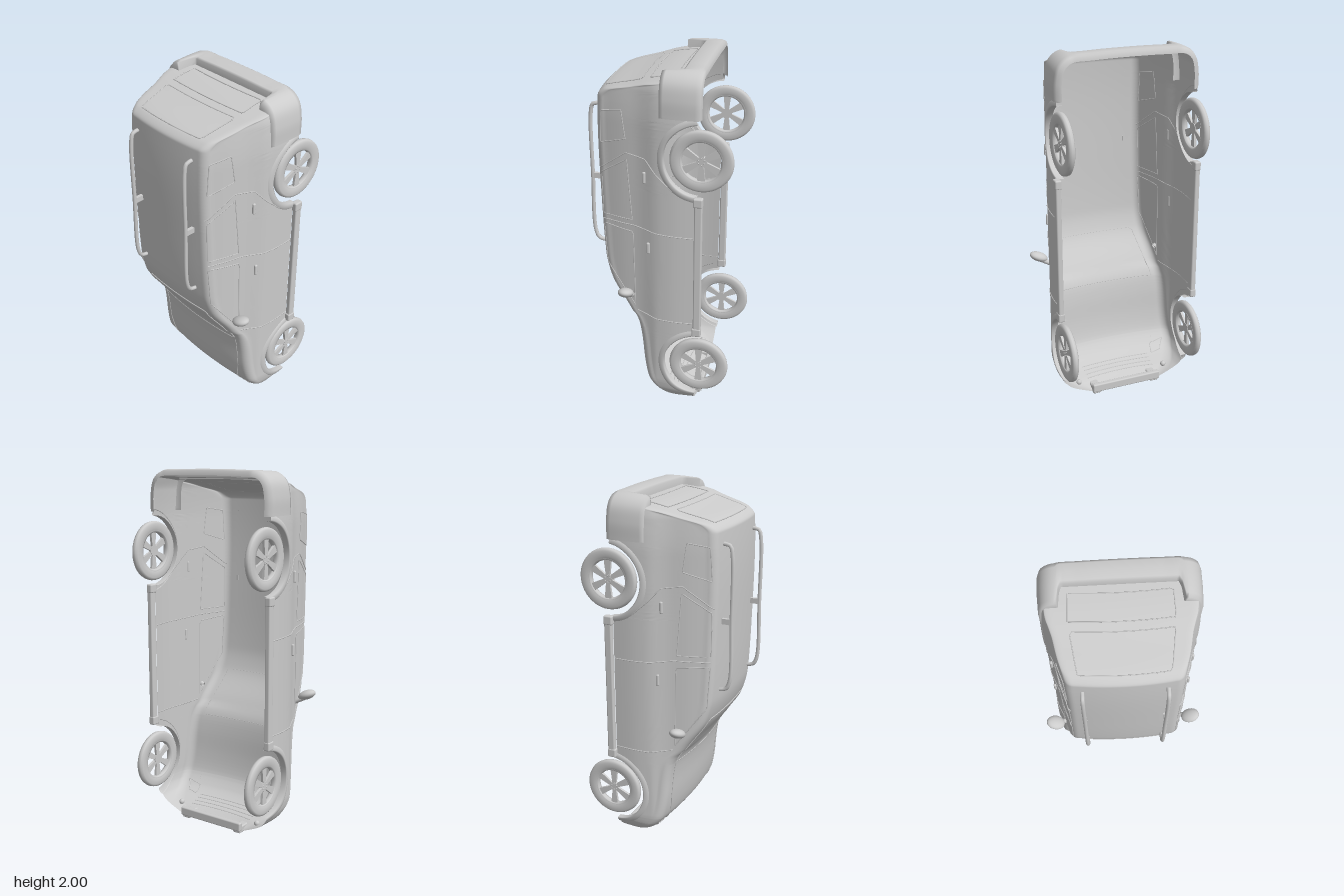
import * as THREE from 'three';
import { RoundedBoxGeometry } from 'three/addons/geometries/RoundedBoxGeometry.js';

const grey = new THREE.MeshStandardMaterial({ color: 0xcccccc, side: THREE.DoubleSide });
const V = (x, y, z) => new THREE.Vector3(x, y, z);

function add(parent, name, geo, x = 0, y = 0, z = 0) {
  const m = new THREE.Mesh(geo, grey);
  m.name = name;
  m.position.set(x, y, z);
  parent.add(m);
  return m;
}

// Smooth monotone interpolation through [position, value] pairs
function ramp(p) {
  const d = p.slice(1).map((q, i) => (q[1] - p[i][1]) / (q[0] - p[i][0]));
  const t = p.map((_, i) => {
    if (i === 0) return d[0];
    if (i === d.length) return d[i - 1];
    return d[i - 1] * d[i] <= 0 ? 0 : 2 * d[i - 1] * d[i] / (d[i - 1] + d[i]);
  });
  return (v) => {
    let i = 0;
    while (i < d.length - 1 && v > p[i + 1][0]) i++;
    const h = p[i + 1][0] - p[i][0], s = Math.min(1, Math.max(0, (v - p[i][0]) / h)), r = 1 - s;
    return p[i][1] * (1 + 2 * s) * r * r + t[i] * h * s * r * r
      + p[i + 1][1] * s * s * (3 - 2 * s) - t[i + 1] * h * s * s * r;
  };
}

// Surface from a rule f(i, j) returning a point
function grid(n, m, f) {
  const pos = [], idx = [];
  for (let i = 0; i <= n; i++) for (let j = 0; j <= m; j++) pos.push(...f(i, j).toArray());
  for (let i = 0; i < n; i++) for (let j = 0; j < m; j++) {
    const a = i * (m + 1) + j, b = a + m + 1;
    idx.push(a, b, a + 1, a + 1, b, b + 1);
  }
  const g = new THREE.BufferGeometry();
  g.setAttribute('position', new THREE.Float32BufferAttribute(pos, 3));
  g.setIndex(idx);
  g.computeVertexNormals();
  return g;
}

// Body rules: y runs nose to tail, z is the car's height
const topLine = ramp([[0.01, -0.19], [0.03, -0.14], [0.05, -0.1], [0.085, -0.015], [0.12, 0.035], [0.19, 0.085],
  [0.3, 0.108], [0.44, 0.123], [0.53, 0.14], [0.62, 0.19], [0.8, 0.302], [0.92, 0.33], [1.24, 0.346],
  [1.6, 0.354], [1.82, 0.348], [1.857, 0.315], [1.9, 0.16], [1.94, -0.02], [1.955, -0.19]]);
const halfWidth = ramp([[-0.25, 0.386], [-0.1, 0.395], [0, 0.385], [0.05, 0.366], [0.1, 0.347], [0.2, 0.322],
  [0.3, 0.288], [0.36, 0.262]]);
const taper = ramp([[0.01, 0.5], [0.03, 0.63], [0.05, 0.75], [0.07, 0.85], [0.1, 0.93], [0.15, 0.985], [0.2, 1],
  [1.7, 1], [1.88, 0.97], [1.955, 0.92]]);
const AXLES = [0.33, 1.55], AXLE_Z = -0.235, ARCH = 0.195;

const sill = (y) => Math.max(-0.205, ...AXLES.map((a) =>
  Math.abs(y - a) < ARCH ? AXLE_Z + Math.sqrt(ARCH * ARCH - (y - a) ** 2) : -1));

function section(y) {
  const top = topLine(y), low = sill(y), h = top - low;
  const r = Math.min(0.05, h * 0.5), crown = Math.min(y < 0.6 ? 0.025 : 0.016, h * 0.25);
  const zs = top - r - crown;
  return { low, r, crown, zs, xs: halfWidth(zs) * taper(y) };
}
function sideX(y, z) {
  const s = section(y);
  if (z <= s.zs) return halfWidth(z) * taper(y);
  return s.xs - s.r + s.r * Math.sqrt(Math.max(0, 1 - ((z - s.zs) / s.r) ** 2));
}
function topZ(x, y) {
  const s = section(y), flat = s.xs - s.r, a = Math.abs(x);
  if (a <= flat) return s.zs + s.r + s.crown * (1 - (a / flat) ** 2);
  return s.zs + s.r * Math.sqrt(Math.max(0, 1 - ((a - flat) / s.r) ** 2));
}

// Open-bottomed shell, with the sill line rising over the wheels
function bodyShell() {
  const ys = [];
  for (let y = 0.01; y < 0.14; y += 0.005) ys.push(y);
  for (let y = 0.14; y < 1.8; y += 0.02) ys.push(y);
  for (let y = 1.8; y < 1.955; y += 0.005) ys.push(y);
  for (const a of AXLES) for (let i = 0; i <= 28; i++) ys.push(a - ARCH * Math.cos(i * Math.PI / 28));
  ys.push(1.955);
  ys.sort((a, b) => a - b);
  const side = 14, corner = 8, roof = 10, half = side + corner + roof;
  return grid(ys.length - 1, half * 2, (i, j) => {
    const y = ys[i], s = section(y), k = j <= half ? j : 2 * half - j, sgn = j <= half ? 1 : -1;
    if (k <= side) {
      const z = s.low + (s.zs - s.low) * k / side;
      return V(sgn * halfWidth(z) * taper(y), y, z);
    }
    if (k <= side + corner) {
      const a = (k - side) / corner * Math.PI / 2;
      return V(sgn * (s.xs - s.r + s.r * Math.cos(a)), y, s.zs + s.r * Math.sin(a));
    }
    const t = 1 - (k - side - corner) / roof;
    return V(sgn * (s.xs - s.r) * t, y, s.zs + s.r + s.crown * (1 - t * t));
  });
}

// Trim line and panel laid on the body; map turns 2D into a body point
function trim(points, map, radius = 0.003, closed = false) {
  const list = closed ? [...points, points[0]] : points, path = new THREE.CurvePath();
  for (let i = 0; i + 1 < list.length; i++) {
    const [a, b] = [list[i], list[i + 1]], pts = [];
    for (let k = 0; k <= 10; k++) pts.push(map(a[0] + (b[0] - a[0]) * k / 10, a[1] + (b[1] - a[1]) * k / 10));
    path.add(new THREE.CatmullRomCurve3(pts));
  }
  return new THREE.TubeGeometry(path, (list.length - 1) * 14, radius, 5);
}
function panel([a, b, c, d], map) {
  const mix = (k, u, v) => (a[k] * (1 - u) + b[k] * u) * (1 - v) + (d[k] * (1 - u) + c[k] * u) * v;
  return grid(14, 14, (i, j) => map(mix(0, i / 14, j / 14), mix(1, i / 14, j / 14)));
}

function wheel() {
  const g = new THREE.Group();
  g.name = 'wheel';
  const lathe = (p) => new THREE.LatheGeometry(p.map(([r, h]) => new THREE.Vector2(r, h)), 48).rotateX(Math.PI / 2);
  add(g, 'tyre', lathe([[0.112, -0.014], [0.125, -0.018], [0.15, -0.019], [0.162, -0.012], [0.165, 0],
    [0.162, 0.012], [0.15, 0.019], [0.125, 0.018], [0.112, 0.014]]));
  add(g, 'rim', lathe([[0.114, -0.016], [0.104, -0.016], [0.1, 0], [0.104, 0.014], [0.114, 0.014]]));
  add(g, 'hub', new THREE.CylinderGeometry(0.026, 0.03, 0.018, 24).rotateX(Math.PI / 2), 0, 0, 0.002);
  const shape = new THREE.Shape([[-0.011, 0.02], [0.011, 0.02], [0.021, 0.106], [-0.021, 0.106]]
    .map(([x, y]) => new THREE.Vector2(x, y)));
  for (let i = 0; i < 6; i++) {
    const spoke = new THREE.ExtrudeGeometry(shape, { depth: 0.014, bevelEnabled: false });
    add(g, 'spoke', spoke, 0, 0, -0.004).rotation.z = i * Math.PI / 3;
    const a = (i + 0.5) * Math.PI / 3;
    add(g, 'wheelNut', new THREE.SphereGeometry(0.004, 8, 6), 0.017 * Math.cos(a), 0.017 * Math.sin(a), 0.011);
  }
  return g;
}

// Raised lip around a wheel opening
function archFlare(axle, s) {
  const profile = [[0.195, -0.03], [0.193, 0.004], [0.2, 0.008], [0.218, 0.006], [0.228, -0.002]];
  return grid(40, 4, (i, j) => {
    const a = 0.1 + (Math.PI - 0.2) * i / 40, [r, d] = profile[j];
    const y = axle - r * Math.cos(a), z = AXLE_Z + r * Math.sin(a);
    return V(s * (sideX(y, z) + d), y, z);
  });
}

// Bumper swept round the tail, its top edge lower in the middle
function rearBumper() {
  const half = [[0.396, 1.765], [0.395, 1.86], [0.375, 1.94], [0.325, 1.983], [0.2, 1.992]];
  const path = new THREE.CatmullRomCurve3([...half.map(([x, y]) => V(x, y, 0)), V(0, 1.995, 0),
    ...half.slice().reverse().map(([x, y]) => V(-x, y, 0))]);
  const profile = [[1, -0.05], [1, -0.008], [0.9, 0], [0.5, 0.004], [0.15, 0.004], [0.03, -0.004], [0, -0.03]];
  return grid(90, 6, (i, j) => {
    const p = path.getPointAt(i / 90), t = path.getTangentAt(i / 90);
    const top = -0.12 + 0.1 * THREE.MathUtils.smoothstep(Math.abs(p.x), 0.285, 0.305);
    const [v, d] = profile[j];
    return V(p.x + t.y * d, p.y - t.x * d, -0.235 + (top + 0.235) * v);
  });
}

export function createModel() {
  const car = new THREE.Group();
  car.name = 'car';
  add(car, 'bodyShell', bodyShell());
  add(car, 'rearBumper', rearBumper());

  // Glass, hood and tailgate lines
  const onTop = (x, y) => V(x, y, topZ(x, y) + 0.002);
  const onTail = (x, y) => V(x, y + 0.002, topZ(x, y) + 0.001);
  const screen = [[-0.3, 0.53], [0.3, 0.53], [0.235, 0.79], [-0.235, 0.79]];
  const rearGlass = [[-0.22, 1.862], [0.22, 1.862], [0.25, 1.914], [-0.25, 1.914]];
  const platePanel = [[-0.255, 1.925], [0.255, 1.925], [0.25, 1.946], [-0.25, 1.946]];
  add(car, 'windscreen', panel(screen, onTop));
  add(car, 'windscreenFrame', trim(screen, onTop, 0.003, true));
  add(car, 'rearWindow', panel(rearGlass, onTail));
  add(car, 'rearWindowFrame', trim(rearGlass, onTail, 0.003, true));
  add(car, 'tailgatePanel', trim(platePanel, onTail, 0.003, true));
  for (const y of [0.05, 0.06, 0.07, 0.08]) add(car, 'grilleBar', trim([[-0.21, y], [0.21, y]], onTop, 0.0035));
  add(car, 'frontSkidPlate', new RoundedBoxGeometry(0.42, 0.05, 0.03, 2, 0.008), 0, 0.04, -0.21);

  for (const s of [1, -1]) {
    const onSide = (y, z) => V(s * (sideX(y, z) + 0.001), y, z);
    const windows = {
      frontDoorWindow: [[0.65, 0.13], [1.1, 0.135], [1.115, 0.31], [0.88, 0.295]],
      rearDoorWindow: [[1.17, 0.14], [1.51, 0.165], [1.41, 0.315], [1.17, 0.312]],
      quarterWindow: [[1.62, 0.17], [1.77, 0.19], [1.75, 0.305], [1.575, 0.315]],
    };
    for (const [name, q] of Object.entries(windows)) {
      add(car, name, panel(q, onSide));
      add(car, name + 'Frame', trim(q, onSide, 0.003, true));
    }
    add(car, 'frontDoorSeam', trim([[0.6, -0.2], [0.6, 0], [0.62, 0.12]], onSide));
    add(car, 'middleDoorSeam', trim([[1.12, -0.2], [1.125, 0], [1.14, 0.13], [1.14, 0.31]], onSide));
    add(car, 'rearDoorSeam', trim([[1.38, -0.09], [1.46, 0], [1.53, 0.06], [1.545, 0.17], [1.43, 0.325]], onSide));
    add(car, 'hoodSeam', trim([[0.27, 0.14], [0.3, 0.3], [0.3, 0.52]], (x, y) => onTop(s * x, y), 0.002));
    const lamp = [[0.24, 0.08], [0.3, 0.09], [0.34, 0.135], [0.25, 0.115]];
    add(car, 'headlight', trim(lamp, (x, y) => onTop(s * x, y), 0.003, true));
    add(car, 'fogLight', new THREE.SphereGeometry(0.016, 16, 10), s * 0.27, 0.055, -0.14);
    add(car, 'towBracket', new RoundedBoxGeometry(0.05, 0.04, 0.1, 2, 0.008), s * 0.18, 0.02, -0.165);

    for (const [y, z] of [[1.03, 0.045], [1.43, 0.065]])
      add(car, 'doorHandle', new RoundedBoxGeometry(0.016, 0.065, 0.018, 2, 0.007), s * (sideX(y, z) + 0.006), y, z);

    for (const y of AXLES) {
      const w = wheel();
      w.position.set(s * 0.372, y, AXLE_Z);
      w.rotation.y = s * Math.PI / 2;
      car.add(w);
      add(car, 'wheelArchFlare', archFlare(y, s));
    }

    // Running board with end caps
    add(car, 'runningBoard', new RoundedBoxGeometry(0.03, 0.8, 0.042, 2, 0.008), s * 0.4, 0.945, -0.228);
    for (const y of [0.56, 1.335])
      add(car, 'runningBoardCap', new RoundedBoxGeometry(0.036, 0.05, 0.05, 2, 0.008), s * 0.4, y, -0.226);

    // Roof rail
    const rail = new THREE.CatmullRomCurve3([V(0, 0.965, 0.33), V(0, 0.975, 0.365), V(0, 1.02, 0.386),
      V(0, 1.36, 0.39), V(0, 1.7, 0.388), V(0, 1.75, 0.375), V(0, 1.758, 0.34)]);
    add(car, 'roofRail', new THREE.TubeGeometry(rail, 50, 0.011, 8), s * 0.205);
    add(car, 'railFoot', new THREE.BoxGeometry(0.018, 0.03, 0.05), s * 0.205, 1.35, 0.362);

    // Door mirror
    const mirror = add(car, 'mirror', new THREE.SphereGeometry(1, 24, 16), s * 0.395, 0.752, 0.17);
    mirror.geometry.scale(0.055, 0.026, 0.042);
    mirror.rotation.z = s * 0.4;
    const arm = new THREE.LineCurve3(V(s * 0.325, 0.705, 0.145), V(s * 0.385, 0.735, 0.16));
    add(car, 'mirrorArm', new THREE.TubeGeometry(arm, 4, 0.014, 10));
  }
  return car;
}
